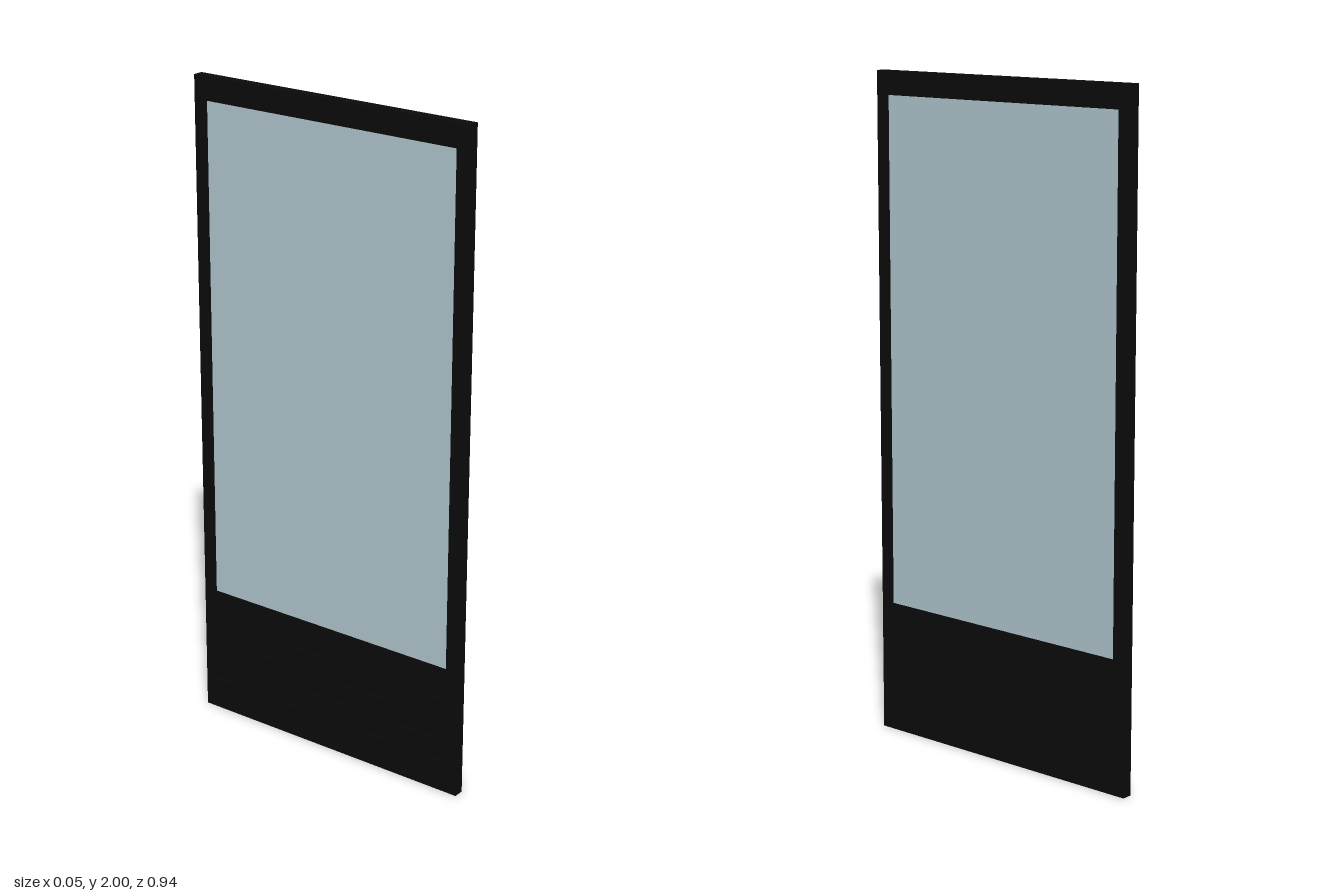
import * as THREE from 'three';

const black = new THREE.MeshStandardMaterial({ color: 0x0b0b0b });
const glass = new THREE.MeshStandardMaterial({ color: 0xb2c8cf });

// Box given by its [min, max] range on each axis
function block(name, [x0, x1], [y0, y1], [z0, z1], material = black) {
  const mesh = new THREE.Mesh(new THREE.BoxGeometry(x1 - x0, y1 - y0, z1 - z0), material);
  mesh.position.set((x0 + x1) / 2, (y0 + y1) / 2, (z0 + z1) / 2);
  mesh.name = name;
  return mesh;
}

export function createModel() {
  const model = new THREE.Group();
  model.name = 'glazedDoor';
  const door = new THREE.Group();
  door.name = 'doorLeaf';
  model.add(door);

  const half = 0.47;      // half the door width
  const inner = 0.427;    // half the opening width
  const depth = [-0.016, 0.016];

  // Upright stiles
  door.add(block('frontStile', depth, [0, 2], [inner, half]));
  door.add(block('backStile', depth, [0, 2], [-half, -inner]));

  // Horizontal rails
  door.add(block('topRail', depth, [1.93, 2], [-inner, inner]));
  door.add(block('middleRail', depth, [0.335, 0.4], [-inner, inner]));
  door.add(block('bottomRail', depth, [0, 0.04], [-inner, inner]));

  // Window pane, almost flush with the frame
  door.add(block('glassPane', [-0.013, 0.013], [0.4, 1.93], [-inner, inner], glass));

  // Lower panel with raised slats
  door.add(block('lowerPanel', [-0.015, 0.012], [0.04, 0.335], [-inner, inner]));
  for (let i = 0; i < 4; i++) {
    const y = 0.086 + i * 0.0667;
    door.add(block('slat' + (i + 1), [-0.021, 0.016], [y - 0.016, y + 0.016], [-inner, inner]));
    door.add(block('slatBack' + (i + 1), [-0.021, -0.015], [y - 0.016, y + 0.016], [-0.437, 0.437]));
  }

  // The leaf stands very slightly ajar
  door.rotation.y = 0.0157;
  door.position.x = 0.001;
  return model;
}
